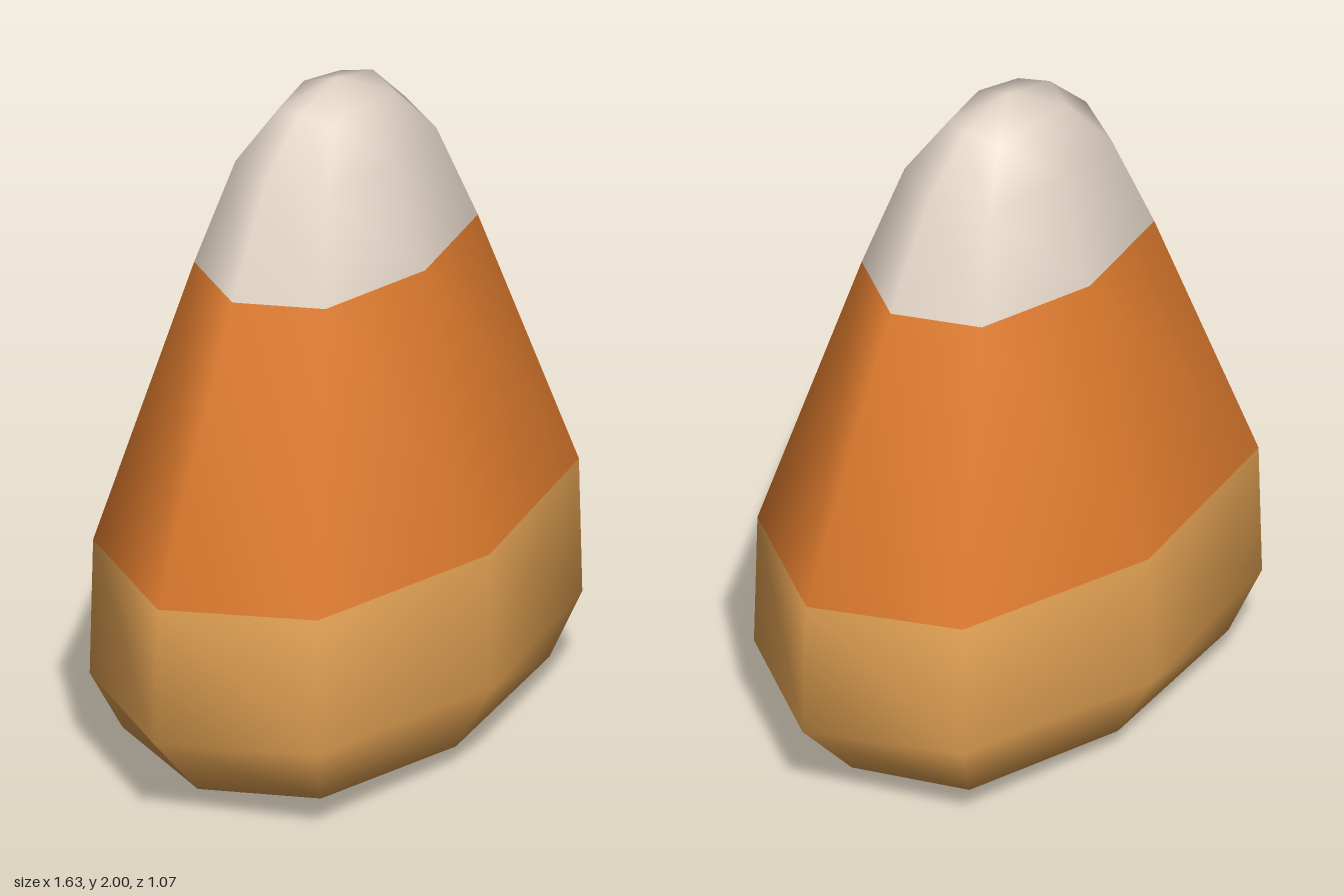
import * as THREE from 'three';

// Rings from bottom to top: half width, half depth, height, diagonal bulge, diagonal height
const RINGS = [
  [0.62, 0.41, 0.07, 1.17, 0.105],
  [0.815, 0.535, 0.29, 1.03, 0.29],
  [0.80, 0.525, 0.70, 1.035, 0.70],
  [0.465, 0.305, 1.505, 1.04, 1.505],
  [0.31, 0.205, 1.81, 1.1, 1.795],
  [0.165, 0.11, 1.955, 1.17, 1.935],
];
const SIDES = 8;

function candyGeometry() {
  const positions = [0, 0, 0];
  for (const [rx, rz, y, bulge, diagonalY] of RINGS) {
    for (let i = 0; i < SIDES; i++) {
      const a = (i / SIDES) * Math.PI * 2;
      const diagonal = i % 2 === 1;
      const k = diagonal ? bulge : 1;
      positions.push(Math.cos(a) * rx * k, diagonal ? diagonalY : y, Math.sin(a) * rz * k);
    }
  }
  positions.push(0, 2, 0);
  const tip = positions.length / 3 - 1;
  const at = (ring, i) => 1 + ring * SIDES + (i % SIDES);

  const index = [];
  const geometry = new THREE.BufferGeometry();
  let start = 0;
  const closeBand = (material) => {
    geometry.addGroup(start, index.length - start, material);
    start = index.length;
  };
  const wall = (r) => {
    for (let i = 0; i < SIDES; i++) {
      const a = at(r, i), b = at(r, i + 1), c = at(r + 1, i + 1), d = at(r + 1, i);
      index.push(a, d, c, a, c, b);
    }
  };

  // Yellow base with its shallow underside
  for (let i = 0; i < SIDES; i++) index.push(0, at(0, i), at(0, i + 1));
  wall(0);
  wall(1);
  closeBand(0);

  // Orange middle
  wall(2);
  closeBand(1);

  // White rounded tip
  wall(3);
  wall(4);
  for (let i = 0; i < SIDES; i++) index.push(tip, at(5, i + 1), at(5, i));
  closeBand(2);

  geometry.setAttribute('position', new THREE.Float32BufferAttribute(positions, 3));
  geometry.setIndex(index);
  geometry.computeVertexNormals(); // shared corners keep the shading smooth across the bands
  return geometry;
}

export function createModel() {
  const material = (name, color) => {
    const m = new THREE.MeshStandardMaterial({ color });
    m.name = name;
    return m;
  };
  const candy = new THREE.Mesh(candyGeometry(), [
    material('yellow', 0xe0a052),
    material('orange', 0xe07c2e),
    material('white', 0xe4d6c8),
  ]);
  candy.name = 'candyBody';

  const model = new THREE.Group();
  model.name = 'candyCorn';
  model.add(candy);
  return model;
}
